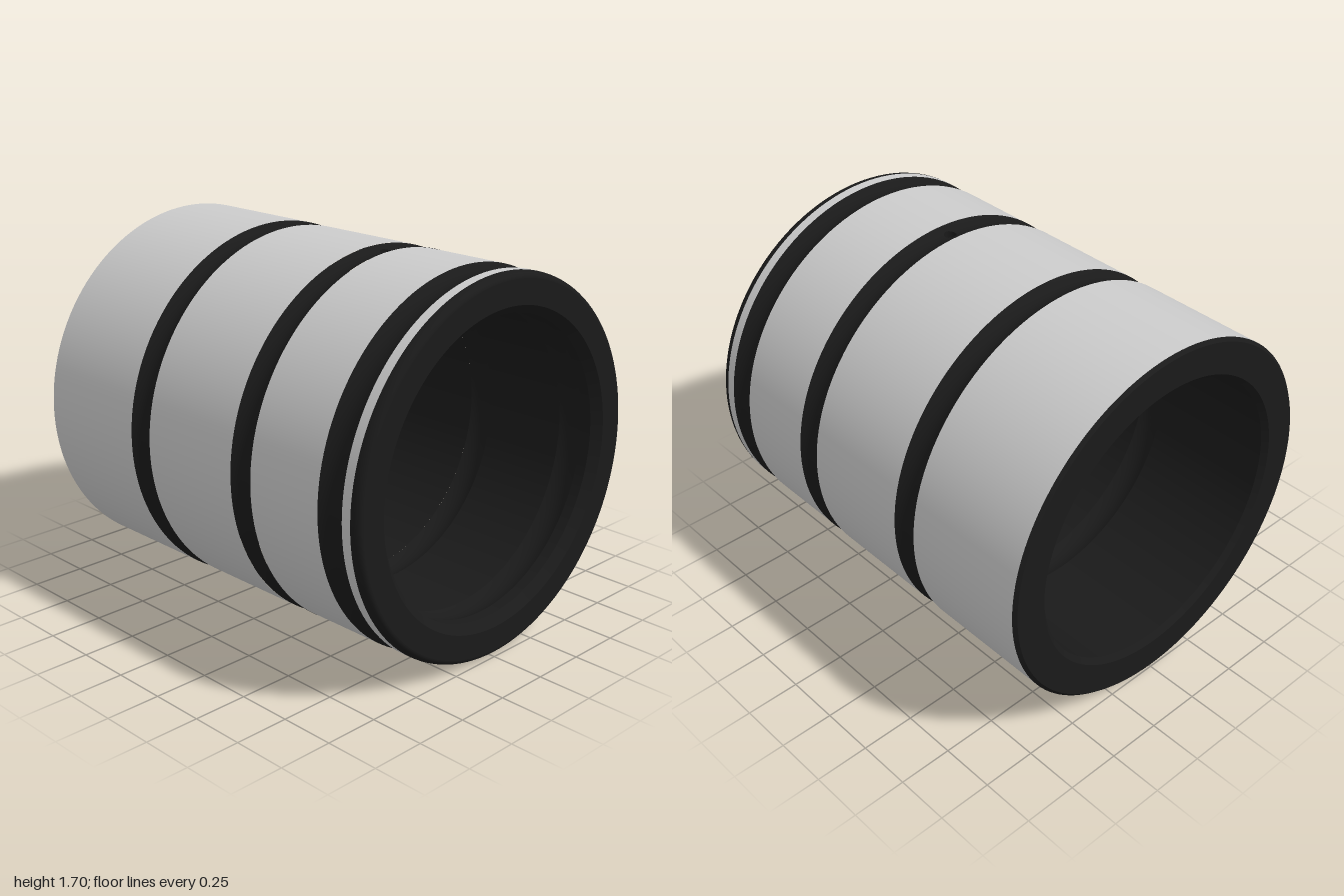
import * as THREE from 'three';
import { ParametricGeometry } from 'three/addons/geometries/ParametricGeometry.js';

const SEG = 128, HOLE = 0.028, HOLE_X = 0.33, HALF = 0.06, WIDE = 0.075;

export function createModel() {
  const model = new THREE.Group();
  model.name = 'bushing';
  // parts are turned about local y, then laid along x
  const body = new THREE.Group();
  body.name = 'sleeve';
  body.rotation.z = -Math.PI / 2;
  body.position.y = 0.85;
  model.add(body);

  const grey = new THREE.MeshStandardMaterial({ color: 0xcccccc });
  const dark = new THREE.MeshStandardMaterial({ color: 0x1a1a1a, side: THREE.DoubleSide });

  const add = (name, geometry, material) => {
    const mesh = new THREE.Mesh(geometry, material);
    mesh.name = name;
    body.add(mesh);
  };
  // turned surface through [position along axis, radius] points
  const turn = (name, pts, material, start = 0, length = Math.PI * 2) =>
    add(name, new THREE.LatheGeometry(pts.map(([x, r]) => new THREE.Vector2(r, x)), SEG, start, length), material);
  // scooped groove profile from x0 to x1
  const scoop = (x0, r0, x1, r1, floor, n = 12) => Array.from({ length: n + 1 }, (_, i) => {
    const t = (i / n) * 2 - 1;
    return [x0 + (x1 - x0) * i / n, floor + ((t < 0 ? r0 : r1) - floor) * t * t];
  });

  // outer lands
  turn('rearLand', [[-0.985, 0.85], [-0.39, 0.85]], grey);
  turn('middleLand', [[-0.265, 0.848], [0.27, 0.848]], grey);
  turn('frontLand', [[0.39, 0.846], [0.78, 0.846]], grey);
  turn('endRing', [[0.91, 0.843], [0.955, 0.843]], grey);

  // plain outer grooves
  turn('rearGroove', scoop(-0.39, 0.85, -0.265, 0.848, 0.828), dark);
  turn('sealGroove', scoop(0.78, 0.846, 0.91, 0.843, 0.825), dark);

  // end edges and faces
  turn('rearChamfer', [[-1, 0.835], [-0.985, 0.85]], dark);
  turn('rearFace', [[-1, 0.69], [-1, 0.835]], dark);
  const lip = [];
  for (let i = 0; i <= 8; i++) {
    const a = (i / 8) * Math.PI / 2;
    lip.push([0.955 + 0.045 * Math.sin(a), 0.815 + 0.028 * Math.cos(a)]);
  }
  turn('frontRoundedEdge', lip, dark);
  turn('frontFace', [[1, 0.815], [1, 0.705]], dark);

  // bore, from front to rear
  turn('frontBoreChamfer', [[1, 0.705], [0.96, 0.667]], dark);
  turn('frontBore', [[0.96, 0.667], [0.91, 0.667]], dark);
  turn('boreSealGroove', scoop(0.91, 0.667, 0.79, 0.667, 0.685), dark);
  turn('forwardBore', [[0.79, 0.667], [0.39, 0.667]], dark);
  turn('middleBore', [[0.27, 0.667], [-0.27, 0.667]], dark);
  turn('rearBoreGroove', scoop(-0.27, 0.667, -0.39, 0.667, 0.685), dark);
  turn('rearBore', [[-0.39, 0.667], [-0.975, 0.667]], dark);
  turn('rearBoreChamfer', [[-0.975, 0.667], [-1, 0.69]], dark);

  // oil grooves outside and in, left open around the two oil holes
  const outerR = v => 0.828 + 0.019 * (v / HALF) ** 2;
  const innerR = v => 0.685 - 0.018 * (v / HALF) ** 2;
  const profile = (radius, dir) => Array.from({ length: 13 }, (_, i) => {
    const v = dir * HALF * (i / 6 - 1);
    return [HOLE_X + v, radius(v)];
  });
  for (const centre of [Math.PI / 2, Math.PI * 1.5]) {
    const where = centre > Math.PI ? 'upper' : 'lower';
    turn(where + 'OilGroove', profile(outerR, 1), dark, centre + WIDE, Math.PI - 2 * WIDE);
    turn(where + 'BoreOilGroove', profile(innerR, -1), dark, centre + WIDE, Math.PI - 2 * WIDE);

    const place = (target, phi, v, r) =>
      target.set(r * Math.sin(centre + phi), HOLE_X + v, r * Math.cos(centre + phi));
    // square patch of groove floor with a round opening
    const patch = (radius, flip) => new ParametricGeometry((s, t, target) => {
      const a = (flip ? -1 : 1) * t * Math.PI * 2;
      const c = Math.cos(a), n = Math.sin(a), m = Math.max(Math.abs(c), Math.abs(n));
      const v = THREE.MathUtils.lerp(HOLE * n, HALF * n / m, s);
      const r = radius(v);
      place(target, THREE.MathUtils.lerp(Math.asin(HOLE * c / r), WIDE * c / m, s), v, r);
    }, 8, 48);
    add(where + 'HoleSurround', patch(outerR, false), dark);
    add(where + 'BoreHoleSurround', patch(innerR, true), dark);
    // wall of the oil hole
    add(where + 'OilHole', new ParametricGeometry((s, t, target) => {
      const a = t * Math.PI * 2, v = HOLE * Math.sin(a);
      const r = THREE.MathUtils.lerp(innerR(v), outerR(v), s);
      place(target, Math.asin(HOLE * Math.cos(a) / r), v, r);
    }, 2, 48), dark);
  }
  return model;
}
